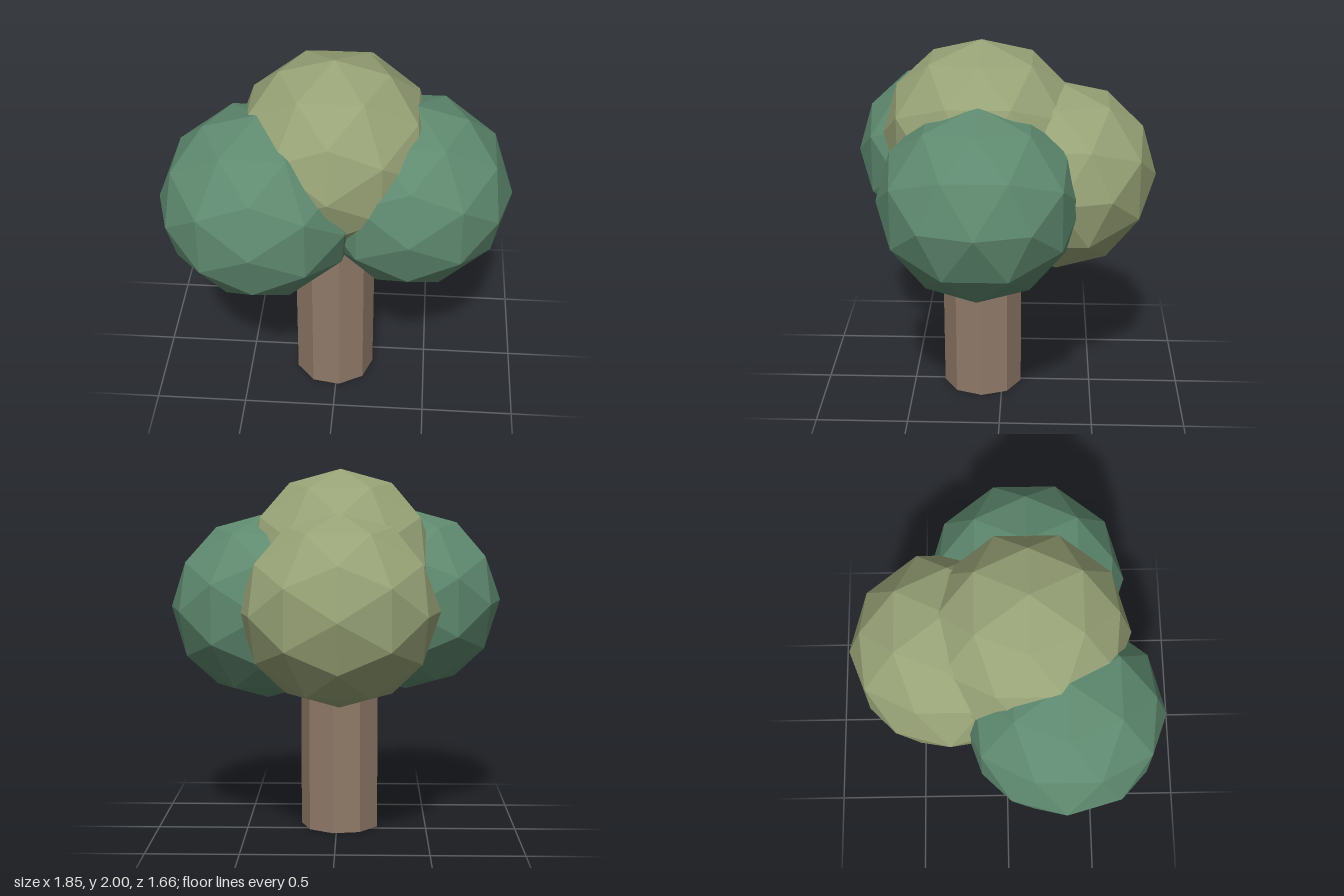
import * as THREE from 'three';

function flat(name, color) {
  const m = new THREE.MeshStandardMaterial({ color, flatShading: true });
  m.name = name;
  return m;
}

export function createModel() {
  const tree = new THREE.Group();
  tree.name = 'tree';
  const bark = flat('barkBrown', 0x8f7a68);
  const darkLeaf = flat('darkGreen', 0x5f8a70);
  const lightLeaf = flat('oliveGreen', 0x98a377);

  // Nine-sided trunk with one corner pointing to +x, its top hidden in the crown
  const height = 1.15;
  const trunk = new THREE.Mesh(
    new THREE.CylinderGeometry(0.221, 0.221, height, 9, 1, false, Math.PI / 2), bark);
  trunk.name = 'trunk';
  trunk.position.set(-0.02, height / 2, 0.111);
  tree.add(trunk);

  // Faceted, slightly flattened balls of leaves
  const ball = new THREE.IcosahedronGeometry(1, 1).scale(0.535, 0.515, 0.535);
  const clumps = [
    ['leftFoliage', darkLeaf, 0.387, 1.242, 0.109],
    ['rightFoliage', darkLeaf, -0.39, 1.262, 0.295],
    ['backFoliage', lightLeaf, -0.02, 1.262, -0.298],
    ['topFoliage', lightLeaf, -0.02, 1.485, 0.109],
  ];
  for (const [name, material, x, y, z] of clumps) {
    const clump = new THREE.Mesh(ball, material);
    clump.name = name;
    clump.position.set(x, y, z);
    tree.add(clump);
  }
  return tree;
}
